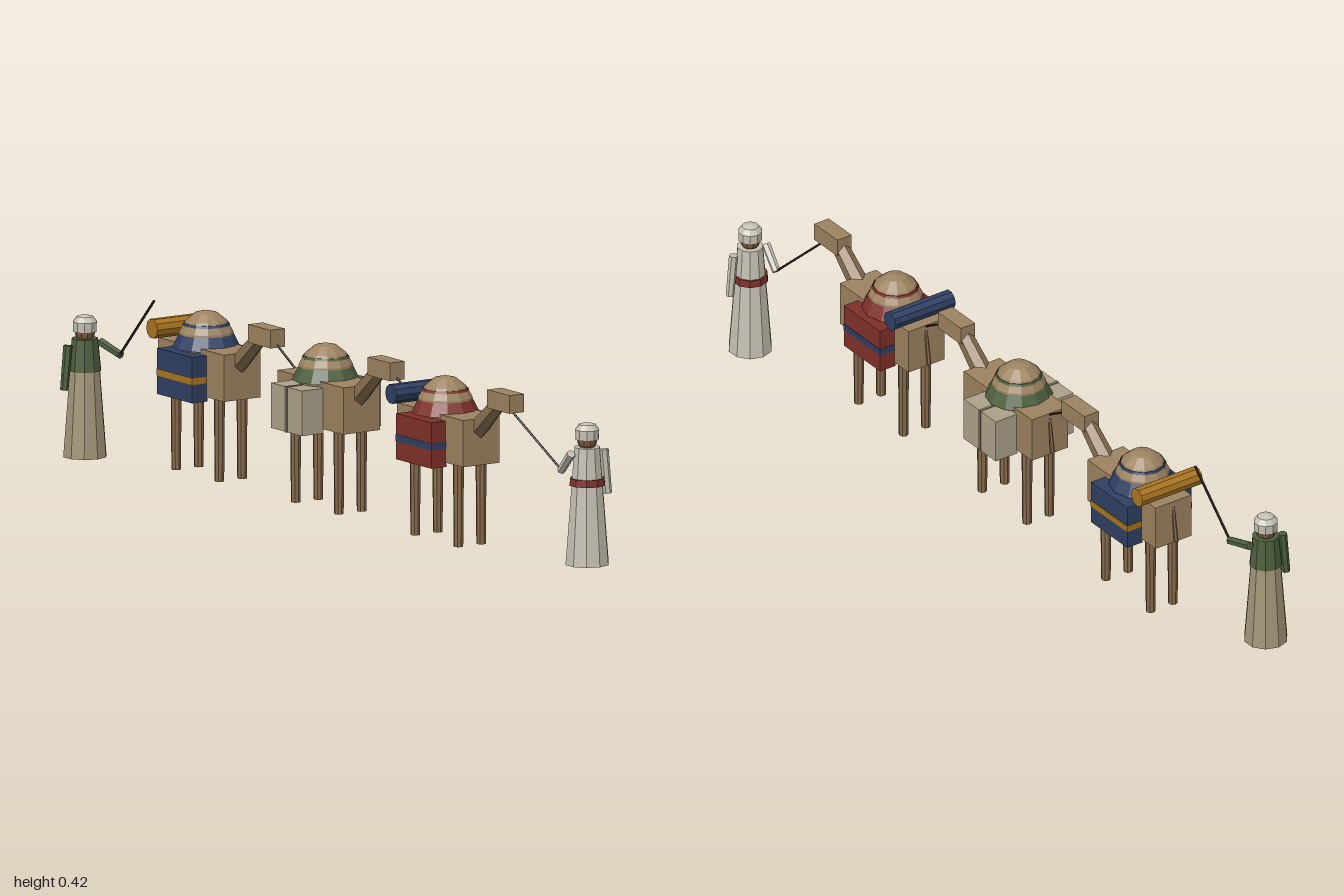
import * as THREE from 'three';

const V = (x, y, z) => new THREE.Vector3(x, y, z);
const mats = {};
const mat = (color) => (mats[color] ??= new THREE.MeshStandardMaterial({ color, flatShading: true, roughness: 0.9 }));

const TAN = 0x9c8260, LEG = 0x866a4b, NECK = 0x8a7050, ROPE = 0x2e2620;
const RED = 0x7f3029, BLUE = 0x2f4063, GOLD = 0xa8741f, GREEN = 0x4c5f3e;
const STONE = 0xaca28a, WHITE = 0xc6c1b5, BEIGE = 0xa39678, SKIN = 0x80583a;

function add(parent, name, geometry, color, x = 0, y = 0, z = 0) {
  const mesh = new THREE.Mesh(geometry, mat(color));
  mesh.name = name;
  mesh.position.set(x, y, z);
  parent.add(mesh);
  return mesh;
}

const box = (parent, name, w, h, d, color, x, y, z) =>
  add(parent, name, new THREE.BoxGeometry(w, h, d), color, x, y, z);

// Tapered rod running from point a to point b
function rod(parent, name, a, b, ra, rb, sides, color) {
  const dir = b.clone().sub(a);
  const mesh = add(parent, name, new THREE.CylinderGeometry(rb, ra, dir.length(), sides), color);
  mesh.position.copy(a).add(b).multiplyScalar(0.5);
  mesh.quaternion.setFromUnitVectors(V(0, 1, 0), dir.normalize());
  return mesh;
}

// Pack camel: blanket colour, bag colour, trim colour, optional rolled rug
function camel({ blanket, bag, trim, rug }) {
  const g = new THREE.Group();
  g.name = 'camel';
  box(g, 'body', 0.11, 0.118, 0.29, TAN, 0, 0.269, 0);
  for (const sx of [-1, 1]) {
    for (const sz of [-1, 1]) {
      rod(g, 'leg', V(sx * 0.034, 0, sz * 0.095), V(sx * 0.034, 0.22, sz * 0.095), 0.012, 0.014, 8, LEG);
    }
  }
  rod(g, 'neck', V(0, 0.276, 0.103), V(0, 0.383, 0.228), 0.027, 0.021, 6, NECK);
  box(g, 'head', 0.044, 0.046, 0.098, TAN, 0, 0.389, 0.252);
  rod(g, 'tail', V(0, 0.312, -0.144), V(0, 0.22, -0.156), 0.004, 0.006, 6, LEG);

  // Hump with its blanket and cord
  const z = -0.013;
  const hump = add(g, 'hump', new THREE.SphereGeometry(0.073, 12, 8), TAN, 0, 0.325, z);
  hump.scale.y = 1.2;
  add(g, 'saddleBlanket', new THREE.CylinderGeometry(0.065, 0.085, 0.04, 12), blanket, 0, 0.34, z);
  add(g, 'humpBand', new THREE.CylinderGeometry(0.057, 0.06, 0.006, 12), blanket, 0, 0.378, z);

  // Saddlebags: striped ones lie flat, plain ones bulge and carry a strap
  for (const s of [-1, 1]) {
    if (rug) {
      box(g, 'saddlebag', 0.046, 0.116, 0.154, bag, s * 0.075, 0.257, -0.008);
      box(g, 'bagStripe', 0.048, 0.017, 0.156, trim, s * 0.0755, 0.254, -0.008);
    } else {
      box(g, 'saddlebag', 0.066, 0.114, 0.136, bag, s * 0.086, 0.256, -0.012);
      box(g, 'bagStrap', 0.068, 0.116, 0.01, trim, s * 0.0865, 0.256, -0.012);
    }
  }
  if (rug) {
    const roll = add(g, 'rolledRug', new THREE.CylinderGeometry(0.025, 0.025, 0.184, 10), rug, 0, 0.358, -0.117);
    roll.rotation.z = Math.PI / 2;
  }
  return g;
}

// Robed walker, standing at x = 0 with the free arm on side s, reaching to hand
function walker({ robe, sleeve, s, hand, sash, tunic }) {
  const g = new THREE.Group();
  g.name = 'walker';
  add(g, 'robe', new THREE.CylinderGeometry(0.033, 0.056, 0.296, 10), robe, 0, 0.148, 0);
  if (sash) add(g, 'sash', new THREE.CylinderGeometry(0.044, 0.046, 0.018, 10), sash, 0, 0.209, 0);
  if (tunic) add(g, 'tunic', new THREE.CylinderGeometry(0.034, 0.042, 0.081, 10), tunic, 0, 0.2575, 0);
  add(g, 'head', new THREE.SphereGeometry(0.025, 10, 8), SKIN, 0, 0.312, 0);
  const profile = [[0, 0.315], [0.03, 0.315], [0.031, 0.34], [0.021, 0.353], [0, 0.359]];
  add(g, 'turban', new THREE.LatheGeometry(profile.map((p) => new THREE.Vector2(...p)), 10), WHITE);
  rod(g, 'hangingArm', V(s * 0.051, 0.285, 0), V(s * 0.062, 0.173, 0), 0.0115, 0.0105, 6, sleeve);
  rod(g, 'reachingArm', V(-s * 0.048, 0.283, 0), hand, 0.0115, 0.0105, 6, sleeve);
  return g;
}

export function createModel() {
  const root = new THREE.Group();
  root.name = 'caravan';
  const cx = 0.01;
  const zs = [0.476, -0.049, -0.574];

  // Three camels in file
  const loads = [
    { blanket: RED, bag: RED, trim: BLUE, rug: BLUE },
    { blanket: GREEN, bag: STONE, trim: 0x6d6553 },
    { blanket: BLUE, bag: BLUE, trim: GOLD, rug: GOLD },
  ];
  loads.forEach((load, i) => {
    const c = camel(load);
    c.position.set(cx, 0, zs[i]);
    root.add(c);
    // Lead rope to the camel ahead
    if (i > 0) {
      rod(root, 'leadRope', V(cx, 0.322, zs[i - 1] - 0.14), V(cx, 0.372, zs[i] + 0.3), 0.003, 0.003, 5, ROPE);
    }
  });

  // Leader in front, holding the first camel's rope
  const leader = walker({ robe: WHITE, sleeve: WHITE, s: 1, sash: RED, hand: V(-0.042, 0.232, -0.053) });
  leader.position.set(0.109, 0, 0.942);
  root.add(leader);
  rod(root, 'leaderRope', V(0.068, 0.234, 0.888), V(cx, 0.366, 0.758), 0.003, 0.003, 5, ROPE);

  // Drover behind, holding a stick
  const drover = walker({ robe: BEIGE, sleeve: GREEN, s: -1, tunic: GREEN, hand: V(0.053, 0.262, 0.08) });
  drover.position.set(-0.111, 0, -0.943);
  root.add(drover);
  rod(root, 'stick', V(-0.058, 0.26, -0.868), V(-0.046, 0.418, -0.733), 0.0035, 0.0035, 5, ROPE);
  return root;
}
